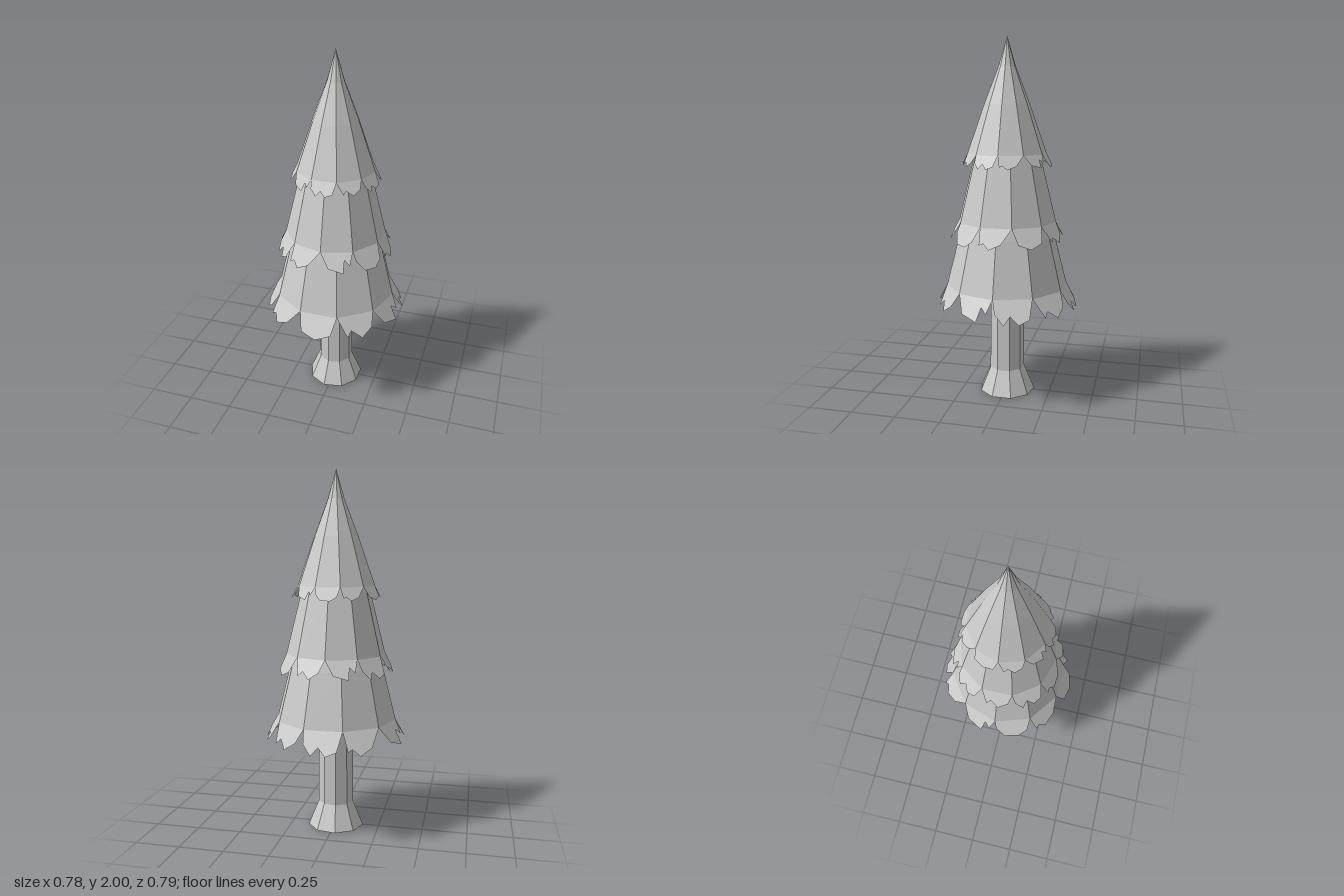
import * as THREE from 'three';

const SIDES = 10;

// Ragged hem outlines for one facet: [position across facet, share of full drop]
const LOBES = [
  [[0.09, 0.6], [0.26, 0.35], [0.3, 0.95], [0.77, 0.73]],
  [[0.1, 0.6], [0.4, 0.95], [0.67, 0.6], [0.8, 0.84]],
  [[0.1, 0.75], [0.5, 1], [0.9, 0.75]],
  [[0.3, 0.74], [0.66, 1], [0.84, 0.7], [0.97, 0.8]],
  [[0.1, 0.7], [0.35, 1], [0.75, 0.95], [0.98, 0.45]],
  [[0.1, 0.8], [0.38, 1], [0.58, 0.65], [0.75, 1], [0.97, 0.55]],
];
const ORDER = [0, 1, 2, 3, 4, 0, 3, 5, 1, 5];

// Faceted skirt: rings of [radius, y] from top to bottom, then a flared hem
// reaching `flare` outwards and `drop` downwards at the lobe tips
function skirt(name, rings, flare, drop, turn, shift, material) {
  const pos = [];
  const quad = (a, b, c, d) => {
    for (const p of [a, b, c, a, c, d]) pos.push(p.x, p.y, p.z);
  };
  const at = ([r, y], a) => new THREE.Vector3(r * Math.cos(a), y, r * Math.sin(a));
  const step = (Math.PI * 2) / SIDES;

  for (let i = 0; i < SIDES; i++) {
    const a0 = turn + i * step, a1 = a0 + step, mid = a0 + step / 2;
    for (let k = 0; k + 1 < rings.length; k++) {
      quad(at(rings[k], a0), at(rings[k], a1), at(rings[k + 1], a1), at(rings[k + 1], a0));
    }
    // Hem lobe hanging from the last ring
    const last = rings[rings.length - 1];
    const left = at(last, a0), right = at(last, a1);
    const fall = new THREE.Vector3(Math.cos(mid) * flare, -drop, Math.sin(mid) * flare);
    const hem = [[0, 0], ...LOBES[ORDER[(i + shift) % SIDES]], [1, 0]];
    const top = (h) => left.clone().lerp(right, h[0]);
    const low = (h) => top(h).addScaledVector(fall, h[1]);
    for (let k = 0; k + 1 < hem.length; k++) {
      quad(top(hem[k]), top(hem[k + 1]), low(hem[k + 1]), low(hem[k]));
    }
  }
  const geo = new THREE.BufferGeometry();
  geo.setAttribute('position', new THREE.Float32BufferAttribute(pos, 3));
  geo.computeVertexNormals();
  const mesh = new THREE.Mesh(geo, material);
  mesh.name = name;
  return mesh;
}

export function createModel() {
  const group = new THREE.Group();
  group.name = 'pineTree';
  const bark = new THREE.MeshStandardMaterial({ color: 0xcccccc, flatShading: true });
  const needles = new THREE.MeshStandardMaterial({
    color: 0xcccccc, flatShading: true, side: THREE.DoubleSide,
  });

  // Nine-sided trunk with a flared foot
  const profile = [[0, 0], [0.158, 0], [0.1, 0.14], [0.095, 0.8], [0, 0.8]]
    .map(([r, y]) => new THREE.Vector2(r, y));
  const trunk = new THREE.Mesh(new THREE.LatheGeometry(profile, 9, -Math.PI / 2), bark);
  trunk.name = 'trunk';
  group.add(trunk);

  // Three overlapping tiers of foliage; the middle one is turned half a facet
  group.add(
    skirt('lowerFoliage', [[0.2, 1.14], [0.265, 0.93], [0.34, 0.635]], 0.07, 0.12, 0, 0, needles),
    skirt('middleFoliage', [[0.13, 1.55], [0.19, 1.35], [0.277, 1.0]], 0.06, 0.105, Math.PI / 10, 4, needles),
    skirt('upperFoliage', [[0, 2], [0.047, 1.84], [0.125, 1.64], [0.218, 1.375]], 0.04, 0.07, 0, 7, needles),
  );
  return group;
}
